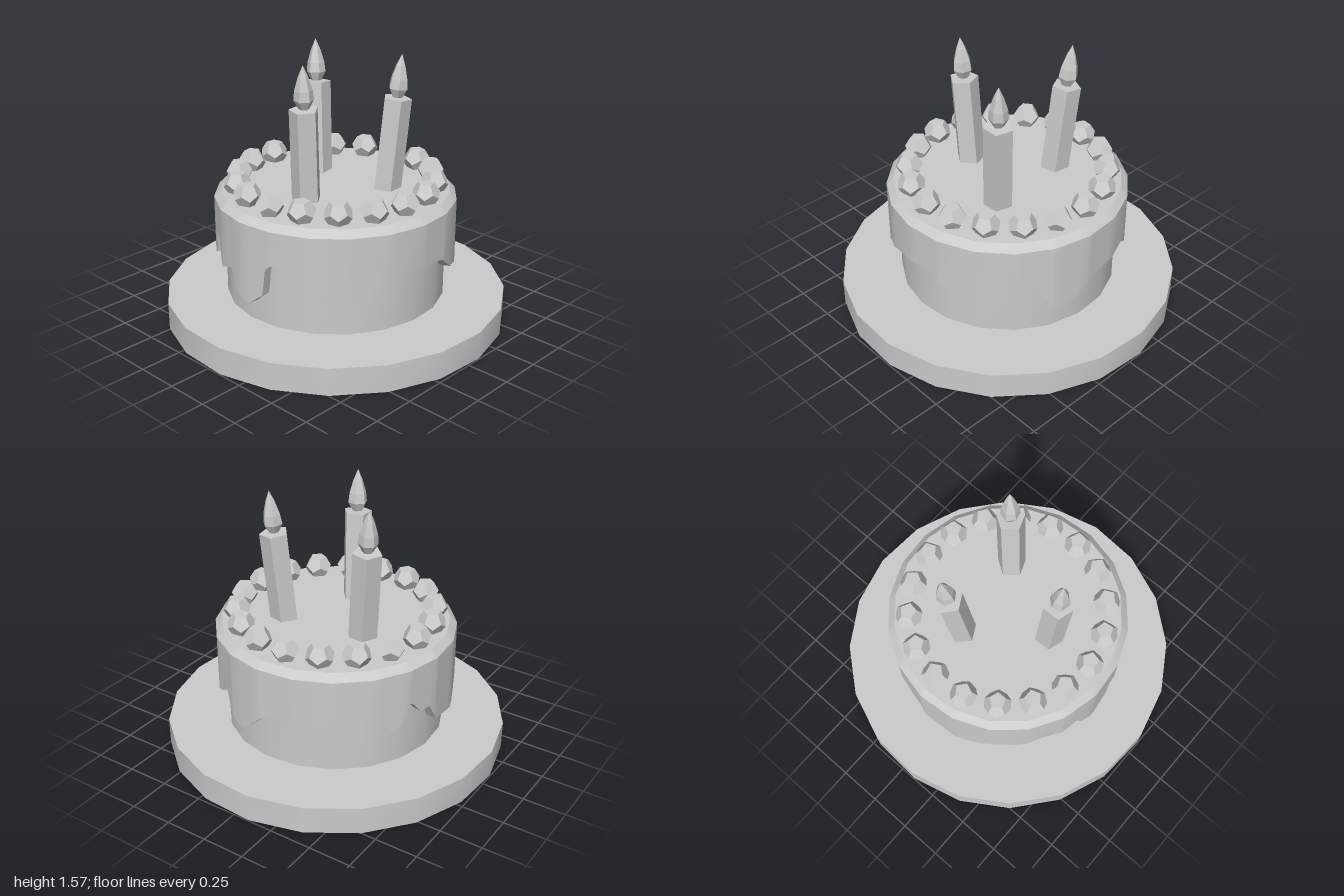
import * as THREE from 'three';
import { toCreasedNormals } from 'three/addons/utils/BufferGeometryUtils.js';

const SIDES = 20;
const STEP = (Math.PI * 2) / SIDES;
const rad = THREE.MathUtils.degToRad;
const CAKE_TURN = rad(-4);

const smoothMat = new THREE.MeshStandardMaterial({ color: 0xcccccc });
const flatMat = new THREE.MeshStandardMaterial({ color: 0xcccccc, flatShading: true });

function add(parent, name, geometry, material) {
  const mesh = new THREE.Mesh(geometry, material);
  mesh.name = name;
  parent.add(mesh);
  return mesh;
}

// Upright many-sided disc standing between two heights
function disc(radius, y0, y1, turn) {
  const g = new THREE.CylinderGeometry(radius, radius, y1 - y0, SIDES, 1, false, turn);
  g.translate(0, (y0 + y1) / 2, 0);
  return toCreasedNormals(g, 0.5);
}

// Lower edge of the icing: angle from the front towards +x (degrees), height
const DRIPS = [
  [0, 0.28], [8.5, 0.36], [10.5, 0.52], [14, 0.555], [24.5, 0.52], [34, 0.37], [51, 0.36],
  [60, 0.42], [72, 0.47], [90, 0.51], [102, 0.48], [114, 0.38], [122, 0.37], [132, 0.39],
  [144.5, 0.43], [147.5, 0.55], [152, 0.46], [157, 0.35], [164, 0.31], [170, 0.36],
  [178, 0.45], [190, 0.47], [206, 0.48], [216, 0.41], [224, 0.37], [236, 0.38], [244, 0.41],
  [248, 0.55], [251, 0.53], [256, 0.46], [262, 0.46], [267, 0.35], [280, 0.32], [290, 0.31],
  [297, 0.34], [301, 0.4], [314, 0.375], [325, 0.43], [327.5, 0.57], [331, 0.55],
  [335, 0.43], [337, 0.4], [344, 0.43], [347, 0.44], [350, 0.33], [360, 0.28],
];

function dripHeight(deg) {
  const i = Math.max(1, DRIPS.findIndex(([a]) => a >= deg));
  const [a0, y0] = DRIPS[i - 1];
  const [a1, y1] = DRIPS[i];
  return y0 + ((y1 - y0) * (deg - a0)) / (a1 - a0);
}

// Icing shell: columns at every drip point and every polygon corner
function icingGeometry() {
  const degs = DRIPS.slice(0, -1).map(([a]) => a);
  for (let k = 1; k <= SIDES; k++) degs.push(k * 18 - 4);
  const angles = [...new Set(degs)].sort((a, b) => a - b);

  const positions = [];
  const index = [];
  const rows = 6;
  for (const deg of angles) {
    const a = rad(deg);
    const d = ((((a - CAKE_TURN) % STEP) + STEP) % STEP) - STEP / 2;
    const flat = Math.cos(STEP / 2) / Math.cos(d); // keeps points on the straight sides
    const y = dripHeight(deg);
    const profile = [[0.63, 0.74], [0.63, y], [0.7, y], [0.7, 0.75], [0.66, 0.79], [0, 0.79]];
    for (const [r, h] of profile) {
      positions.push(Math.sin(a) * r * flat, h, Math.cos(a) * r * flat);
    }
  }
  const n = angles.length;
  for (let i = 0; i < n; i++) {
    for (let j = 0; j < rows - 1; j++) {
      const a = i * rows + j;
      const b = ((i + 1) % n) * rows + j;
      index.push(a, b, b + 1);
      if (j < rows - 2) index.push(a, b + 1, a + 1);
    }
  }
  const g = new THREE.BufferGeometry();
  g.setAttribute('position', new THREE.Float32BufferAttribute(positions, 3));
  g.setIndex(index);
  return toCreasedNormals(g, 0.5);
}

// Candle with its flame, leaning from a base point to a top point
function candle(base, top, turn) {
  const group = new THREE.Group();
  group.name = 'candle';
  const from = new THREE.Vector3(base[0], 0.78, base[1]);
  const axis = new THREE.Vector3(top[0], 1.32, top[1]).sub(from);
  const length = axis.length();

  const stick = new THREE.CylinderGeometry(0.084, 0.084, length, 5, 1, false, turn);
  stick.translate(0, length / 2, 0);
  add(group, 'candleStick', stick, flatMat);

  const profile = [[0, 0], [0.03, 0.005], [0.056, 0.055], [0.05, 0.11], [0.028, 0.185], [0, 0.25]];
  const flame = new THREE.LatheGeometry(profile.map(([x, y]) => new THREE.Vector2(x, y)), 6, turn);
  flame.translate(0, length, 0);
  add(group, 'flame', flame, flatMat);

  group.position.copy(from);
  group.quaternion.setFromUnitVectors(new THREE.Vector3(0, 1, 0), axis.normalize());
  return group;
}

export function createModel() {
  const model = new THREE.Group();
  model.name = 'birthdayCake';

  // Plate, sponge and icing
  add(model, 'plate', disc(1, 0, 0.16, rad(5.5)), smoothMat);
  add(model, 'sponge', disc(0.64, 0.16, 0.74, CAKE_TURN), smoothMat);
  add(model, 'icing', icingGeometry(), smoothMat);

  // Ring of berries around the top
  const berries = new THREE.Group();
  berries.name = 'berries';
  const berryShape = new THREE.DodecahedronGeometry(0.08);
  for (let i = 0; i < 18; i++) {
    const a = rad(5 + i * 20);
    const berry = add(berries, 'berry', berryShape, flatMat);
    berry.position.set(Math.sin(a) * 0.568, 0.84, Math.cos(a) * 0.568);
    berry.rotation.set(0.55, a, 0, 'YXZ');
  }
  model.add(berries);

  // Three leaning candles
  model.add(candle([0.04, 0.275], [0.055, 0.305], rad(20)));
  model.add(candle([-0.26, -0.12], [-0.305, -0.155], rad(65)));
  model.add(candle([0.235, -0.175], [0.268, -0.215], rad(-15)));

  return model;
}
